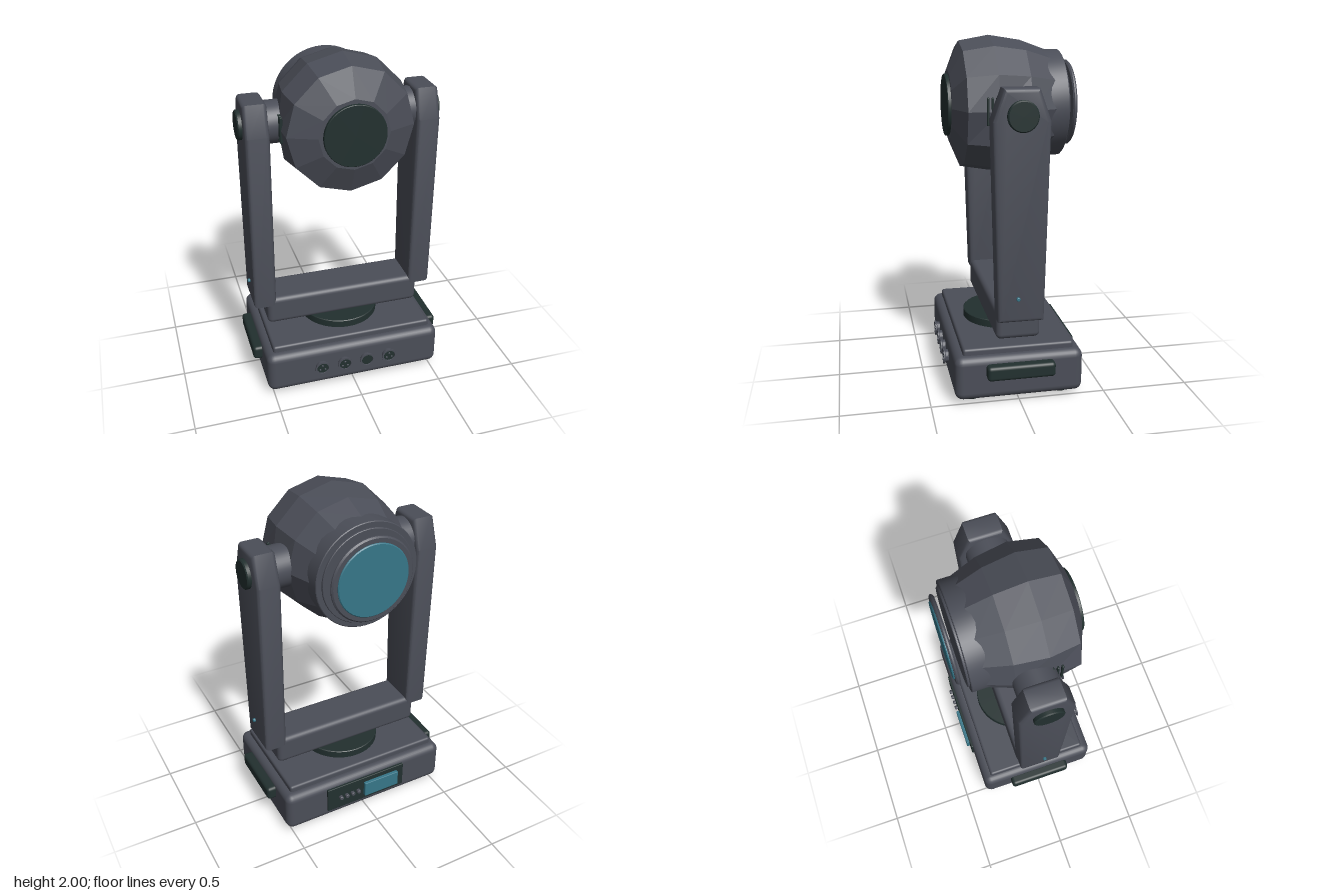
import * as THREE from 'three';
import { toCreasedNormals } from 'three/addons/utils/BufferGeometryUtils.js';
import { RoundedBoxGeometry } from 'three/addons/geometries/RoundedBoxGeometry.js';

const material = (name, color) => Object.assign(new THREE.MeshStandardMaterial({ color }), { name });

export function createModel() {
  const model = new THREE.Group();
  model.name = 'movingHeadLight';
  const grey = material('slateGrey', 0x4b4e58);
  const dark = material('nearBlack', 0x22302f);
  const teal = material('teal', 0x367688);

  const add = (name, geometry, mat, x = 0, y = 0, z = 0, parent = model) => {
    const mesh = new THREE.Mesh(geometry, mat);
    mesh.name = name;
    mesh.position.set(x, y, z);
    parent.add(mesh);
    return mesh;
  };
  const box = (w, h, d, r) => new RoundedBoxGeometry(w, h, d, 3, r);
  // Lathe around the chosen axis from [radius, height] pairs
  const turn = (points, axis = 'y', sides = 40) => {
    const g = new THREE.LatheGeometry(points.map(p => new THREE.Vector2(...p)), sides);
    if (axis === 'z') g.rotateX(Math.PI / 2);
    if (axis === 'x') g.rotateZ(-Math.PI / 2);
    return toCreasedNormals(g, 0.5);
  };
  // Disc with a small chamfer, centred on its axis
  const disc = (r, t, axis = 'y', c = 0.004, sides = 40) => turn([
    [0, -t / 2], [r - c, -t / 2], [r, -t / 2 + c], [r, t / 2 - c], [r - c, t / 2], [0, t / 2],
  ], axis, sides);

  // Base
  add('baseHousing', box(1.07, 0.255, 0.73, 0.045), grey, 0, 0.1575, 0);
  add('baseTopPlate', box(0.98, 0.07, 0.63, 0.015), grey, 0, 0.287, 0);
  add('panBearing', disc(0.238, 0.06), dark, 0, 0.338, 0);
  for (const x of [-0.41, 0.41]) for (const z of [-0.26, 0.26])
    add('foot', disc(0.05, 0.045, 'y', 0.006, 24), dark, x, 0.0225, z);

  // Front sockets
  [-0.21, -0.07, 0.07, 0.21].forEach((x, i) => {
    const socket = new THREE.Group();
    socket.name = 'socket';
    socket.position.set(x, 0.165, 0.36);
    model.add(socket);
    add('socketShell', turn([[0.036, 0], [0.038, 0.022], [0.046, 0.026], [0.046, 0.034],
      [0.036, 0.034], [0.034, 0.026], [0, 0.026]], 'z', 28), grey, 0, 0, 0, socket);
    add('socketFace', disc(0.034, 0.006, 'z', 0.001, 28), dark, 0, 0, 0.027, socket);
    if (i !== 2) for (let k = 0; k < 3; k++) {
      const a = Math.PI / 2 + k * Math.PI * 2 / 3;
      add('socketPin', disc(0.006, 0.008, 'z', 0.001, 10), grey,
        0.018 * Math.cos(a), 0.018 * Math.sin(a), 0.03, socket);
    }
  });

  // Rear control panel
  add('controlPanel', box(0.53, 0.165, 0.02, 0.004), dark, 0.01, 0.168, -0.367);
  add('displayScreen', box(0.235, 0.1, 0.03, 0.004), teal, -0.09, 0.168, -0.382);
  for (const x of [0.068, 0.108, 0.148, 0.188])
    add('menuButton', disc(0.013, 0.03, 'z', 0.003, 14), grey, x, 0.168, -0.382);

  // Yoke crossbar
  add('yokeCrossbar', box(0.95, 0.175, 0.25, 0.03), grey, 0, 0.443, 0);

  // Yoke arm outline, tapering down and clipped at the top corners
  const arm = new THREE.Shape([
    [-0.128, 0.487], [0.128, 0.487], [0.155, 1.585], [0.095, 1.755], [-0.095, 1.755], [-0.155, 1.585],
  ].map(p => new THREE.Vector2(...p)));
  const armGeometry = toCreasedNormals(new THREE.ExtrudeGeometry(arm, {
    depth: 0.091, bevelThickness: 0.022, bevelSize: 0.022, bevelOffset: -0.022, bevelSegments: 3,
  }).translate(0, 0, -0.0455).rotateY(Math.PI / 2), 0.6);

  for (const s of [-1, 1]) {
    add('yokeArm', armGeometry, grey, s * 0.4875, 0, 0);
    add('tiltHub', disc(0.12, 0.15, 'x'), grey, s * 0.365, 1.615, 0);
    add('tiltCap', disc(0.083, 0.05, 'x', 0.006), dark, s * 0.555, 1.615, 0);
    add('indicatorLight', disc(0.011, 0.03, 'x', 0.003, 12), teal, s * 0.555, 0.625, 0.02);
    add('carryHandle', box(0.07, 0.085, 0.385, 0.02), dark, s * 0.553, 0.203, 0);
    for (const z of [0.095, 0.12, 0.145])
      add('ventSlot', box(0.016, 0.15, 0.012, 0.004), dark, s * 0.359, 1.615, z);
  }

  // Faceted head shell with flattened sides
  let shell = new THREE.LatheGeometry([
    [0, -0.25], [0.305, -0.245], [0.358, -0.1], [0.387, 0.08], [0.357, 0.25], [0.2, 0.315], [0, 0.317],
  ].map(p => new THREE.Vector2(...p)), 12).rotateX(Math.PI / 2);
  const pos = shell.attributes.position;
  for (let i = 0; i < pos.count; i++)
    pos.setX(i, THREE.MathUtils.clamp(pos.getX(i), -0.364, 0.364));
  shell = shell.toNonIndexed();
  shell.computeVertexNormals();
  add('headShell', shell, grey, 0, 1.613, 0);
  add('headFrontCap', disc(0.175, 0.04, 'z', 0.003, 48), dark, 0, 1.613, 0.315);

  // Lens end: collar, inner step, floating rim and glass
  add('lensCollar', disc(0.305, 0.11, 'z', 0.004, 48), grey, 0, 1.613, -0.265);
  add('lensStep', disc(0.272, 0.03, 'z', 0.003, 48), grey, 0, 1.613, -0.317);
  add('lensRim', disc(0.245, 0.024, 'z', 0.008, 48), grey, 0, 1.613, -0.37);
  add('lensGlass', disc(0.212, 0.02, 'z', 0.005, 48), teal, 0, 1.613, -0.38);

  return model;
}
